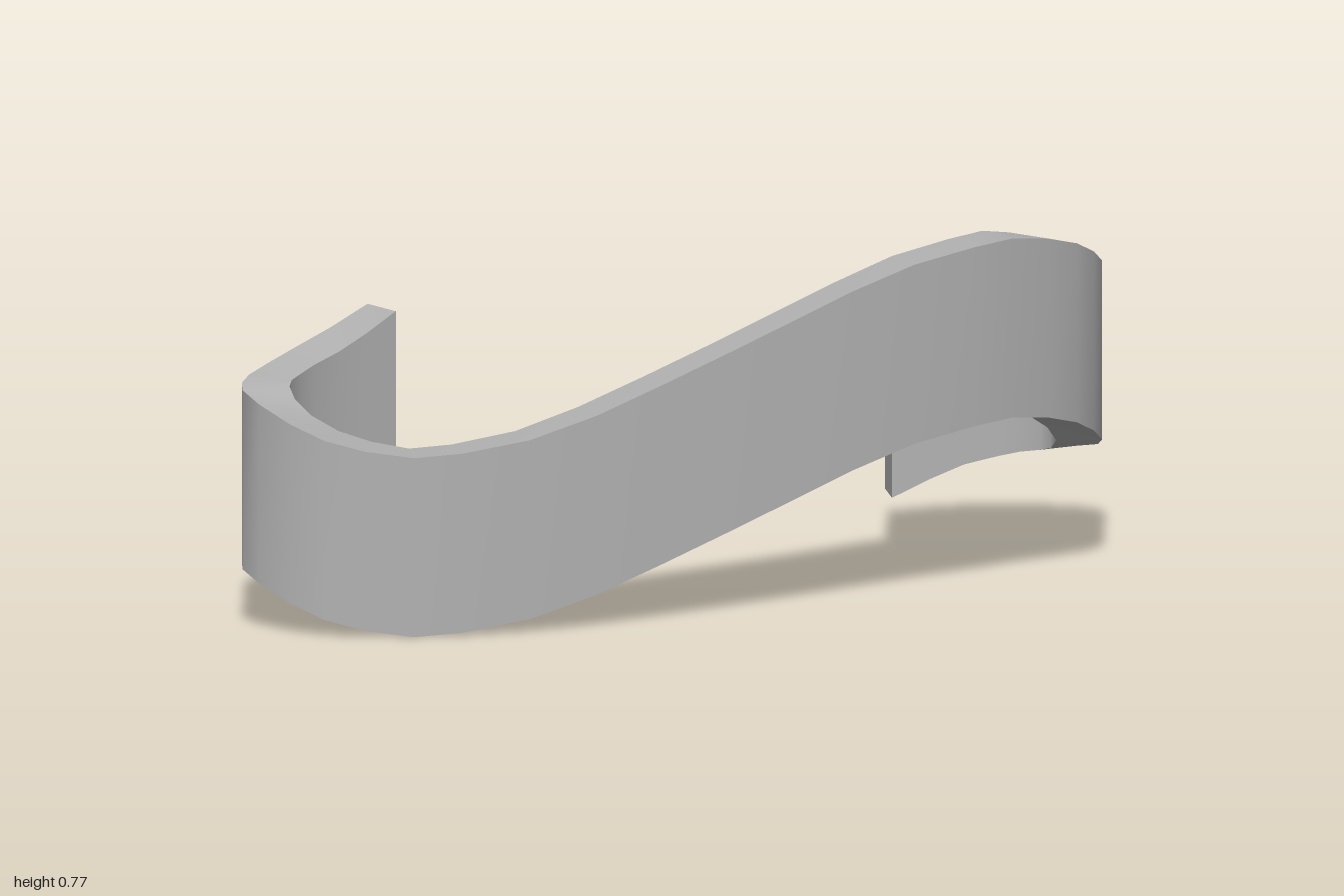
import * as THREE from 'three';

const HEIGHT = 0.395; // height of the band
const TOTAL = 0.775; // height of the whole ribbon

// Half of the path: outer x, outer z, inner x, inner z, top y
const half = [
  [0, 0.285, 0, 0.18, 0.585],
  [0.15, 0.283, 0.15, 0.177, 0.643],
  [0.3, 0.277, 0.3, 0.17, 0.7],
  [0.45, 0.263, 0.44, 0.156, 0.745],
  [0.6, 0.24, 0.58, 0.135, 0.768],
  [0.7, 0.213, 0.67, 0.11, 0.775],
  [0.8, 0.177, 0.745, 0.078, 0.76],
  [0.88, 0.14, 0.81, 0.048, 0.737],
  [0.94, 0.09, 0.86, 0.018, 0.705],
  [0.985, 0.025, 0.89, -0.005, 0.67],
  [1, -0.035, 0.89, -0.035, 0.648],
  [0.985, -0.075, 0.875, -0.06, 0.64],
  [0.95, -0.12, 0.84, -0.09, 0.633],
  [0.88, -0.178, 0.8, -0.115, 0.622],
  [0.79, -0.235, 0.73, -0.143, 0.603],
  [0.7, -0.263, 0.66, -0.163, 0.573],
  [0.605, -0.286, 0.58, -0.186, 0.533],
];

// The left half is the right half turned by 180 degrees about z
const left = half.slice(1).reverse()
  .map(([ox, oz, ix, iz, y]) => [-ox, oz, -ix, iz, TOTAL - y + HEIGHT]);
const path = [...left, ...half];

// Surface between two edges, smooth along its length
function strip(a, b) {
  const index = [];
  for (let i = 0; i < a.length - 1; i++) {
    const k = i * 2;
    index.push(k, k + 2, k + 3, k, k + 3, k + 1);
  }
  const geometry = new THREE.BufferGeometry();
  const points = a.flatMap((p, i) => [...p, ...b[i]]);
  geometry.setAttribute('position', new THREE.Float32BufferAttribute(points, 3));
  geometry.setIndex(index);
  geometry.computeVertexNormals();
  return geometry;
}

export function createModel() {
  const group = new THREE.Group();
  group.name = 'ribbon';
  const grey = new THREE.MeshStandardMaterial({ color: 0xb0b0b0 });
  grey.name = 'grey';

  // The four long edges of the band
  const outerTop = path.map(([x, z, , , y]) => [x, y, z]);
  const outerBottom = path.map(([x, z, , , y]) => [x, y - HEIGHT, z]);
  const innerTop = path.map(([, , x, z, y]) => [x, y, z]);
  const innerBottom = path.map(([, , x, z, y]) => [x, y - HEIGHT, z]);
  const last = path.length - 1;

  const add = (name, a, b) => {
    const mesh = new THREE.Mesh(strip(a, b), grey);
    mesh.name = name;
    group.add(mesh);
  };

  // Walls and edges
  add('outerWall', outerBottom, outerTop);
  add('topEdge', outerTop, innerTop);
  add('innerWall', innerTop, innerBottom);
  add('bottomEdge', innerBottom, outerBottom);

  // End faces
  add('rightEnd', [outerBottom[0], outerTop[0]], [innerBottom[0], innerTop[0]]);
  add('leftEnd', [innerBottom[last], innerTop[last]], [outerBottom[last], outerTop[last]]);

  return group;
}
